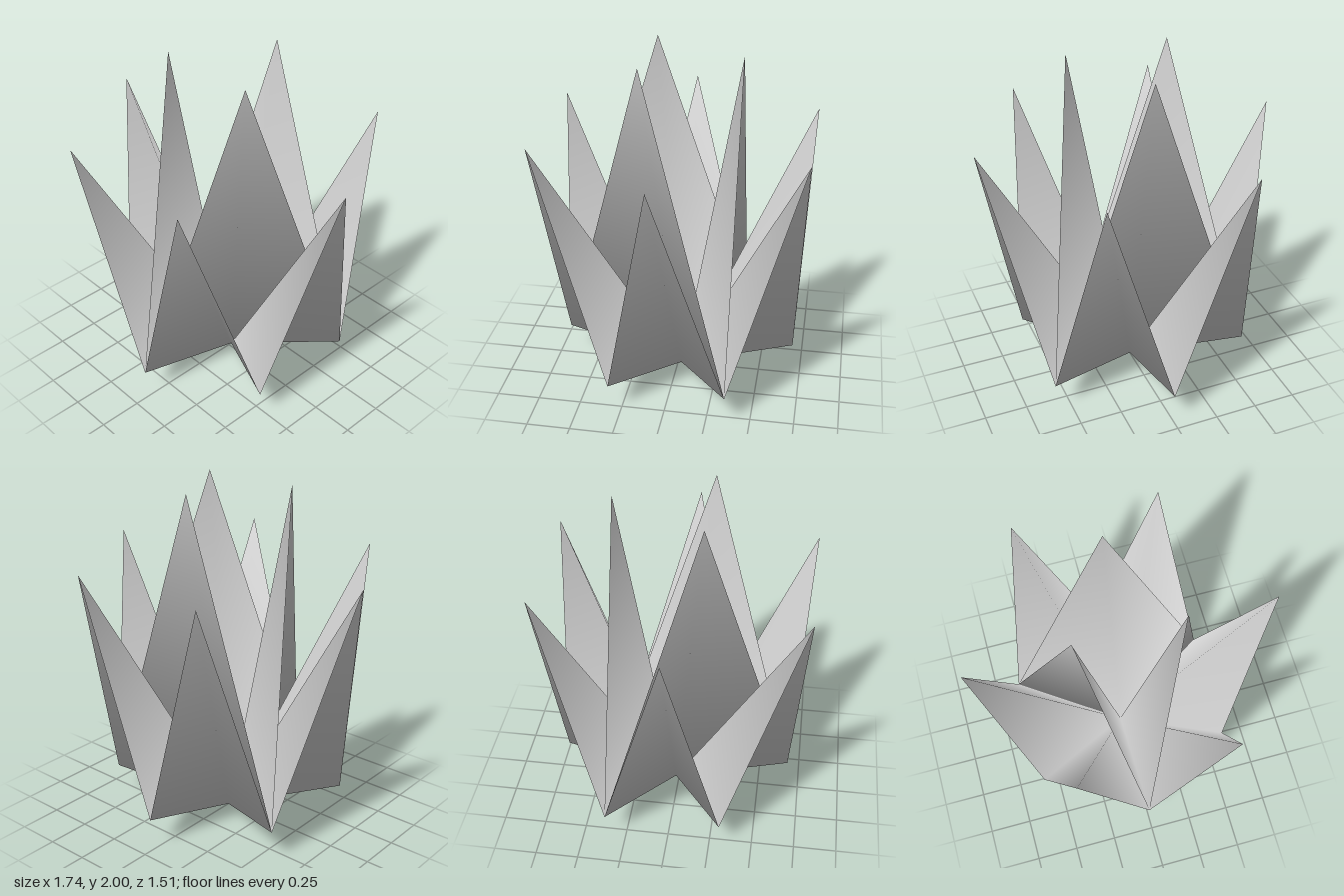
import * as THREE from 'three';

export function createModel() {
  const group = new THREE.Group();
  const material = new THREE.MeshStandardMaterial({ color: 0xcccccc, side: THREE.DoubleSide });

  // root point at the bottom, then the rim counter-clockwise from the front
  const points = [
    [0, 0, -0.02],
    [0, 0.2, 0.675], [0.59, 0.2, 0.31], [0.6, 0.2, -0.36],
    [0, 0.2, -0.7], [-0.6, 0.2, -0.36], [-0.59, 0.2, 0.31],
  ];
  const index = [];

  // folded kite petal: root, two rim points and a tip
  const addPetal = (a, b, tip) => {
    const t = points.push(tip) - 1;
    index.push(0, a, t, 0, t, b);
  };

  // six outer petals leaning outward, one per rim side
  const outerTips = [[0.435, 0.75], [0.87, 0.02], [0.42, -0.76], [-0.42, -0.76], [-0.87, 0.02], [-0.435, 0.75]];
  outerTips.forEach(([x, z], i) => addPetal(1 + i, 1 + (i + 1) % 6, [x, 1.57, z]));

  // three tall inner petals spanning every second rim point
  const innerTips = [[0.295, 0.165], [0, -0.36], [-0.295, 0.165]];
  innerTips.forEach(([x, z], i) => addPetal(1 + 2 * i, 1 + (2 * i + 2) % 6, [x, 2, z]));

  // shared vertices give soft shading across the folds
  const geometry = new THREE.BufferGeometry();
  geometry.setAttribute('position', new THREE.Float32BufferAttribute(points.flat(), 3));
  geometry.setIndex(index);
  geometry.computeVertexNormals();

  const petals = new THREE.Mesh(geometry, material);
  petals.name = 'petals';
  group.add(petals);
  return group;
}
